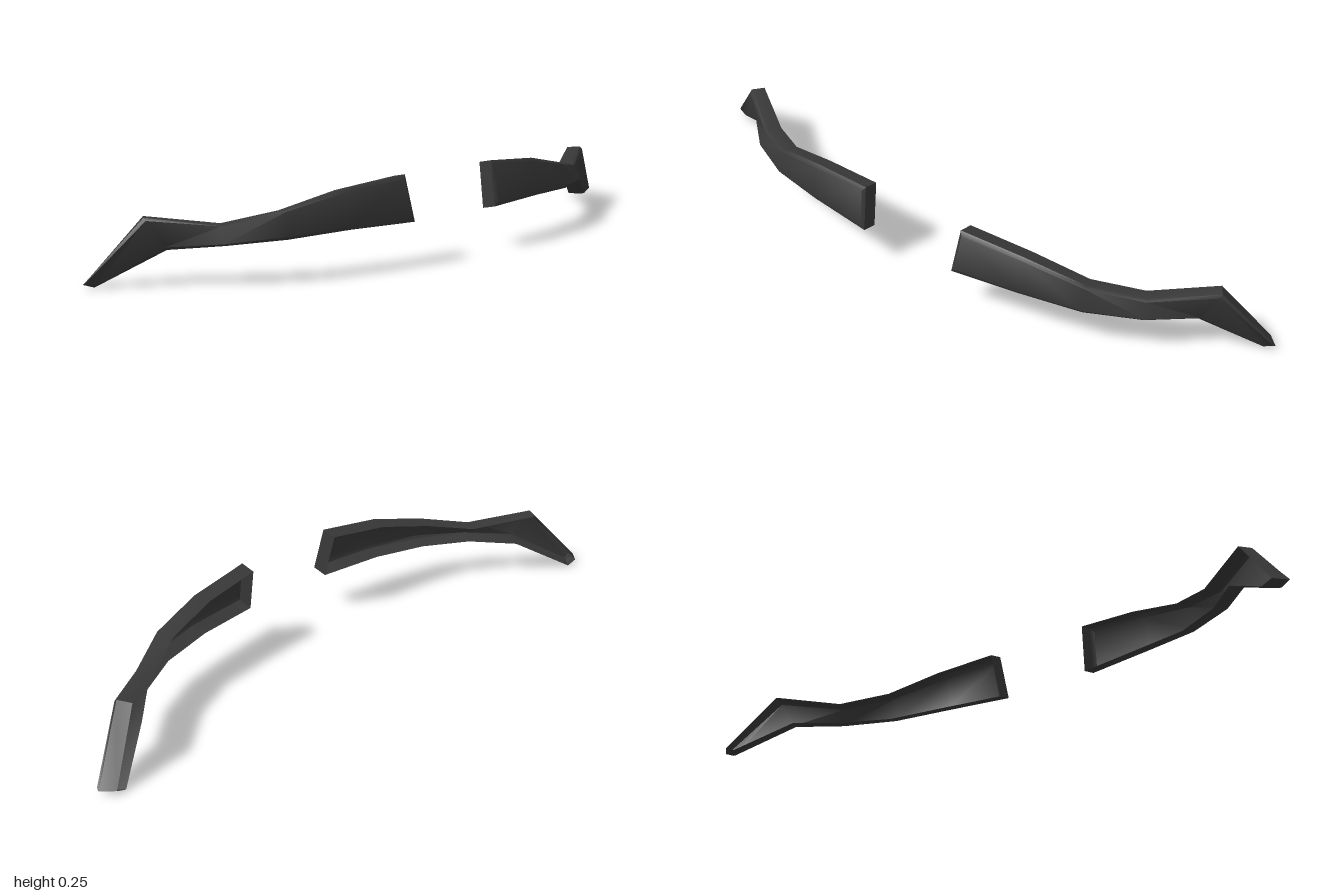
import * as THREE from 'three';
import { toCreasedNormals } from 'three/addons/utils/BufferGeometryUtils.js';

// Stations from the inner end to the outer tip:
// upper rim point, lower rim point, and the offset to the open back.
const STATIONS = [
  { top: [0.17, 0.255, 0.173], low: [0.158, 0.122, 0.202], back: [0, -0.011, -0.047] },
  { top: [0.37, 0.236, 0.147], low: [0.37, 0.125, 0.172], back: [-0.006, -0.011, -0.046] },
  { top: [0.545, 0.196, 0.107], low: [0.55, 0.117, 0.127], back: [-0.012, -0.01, -0.042] },
  { top: [0.69, 0.163, 0.022], low: [0.7, 0.109, 0.046], back: [-0.022, -0.006, -0.037] },
  { top: [0.86, 0.187, -0.092], low: [0.81, 0.097, -0.062], back: [-0.022, -0.004, -0.037] },
  { top: [1.0, 0.012, -0.177], low: [0.968, 0.0, -0.173], back: [-0.033, 0.001, -0.033] },
];

// Hollow brow shell: rounded front plate, side walls all round, open at the back.
function browGeometry(side) {
  const vec = (a) => new THREE.Vector3(...a);
  const last = STATIONS.length - 1;
  const face = [], edge = [], back = [];

  const addRim = (i, key, otherKey) => {
    const s = STATIONS[i];
    const rim = vec(s[key]);
    const offset = vec(s.back);
    // The front plate is inset and stands slightly proud, giving a soft bevel.
    const front = rim.clone().lerp(vec(s[otherKey]), 0.09);
    front.addScaledVector(offset.clone().normalize(), -0.008);
    if (i === 0 || i === last) {
      const next = vec(STATIONS[i === 0 ? 1 : last - 1][key]);
      front.addScaledVector(next.sub(rim).normalize(), 0.01);
    }
    face.push(front);
    edge.push(rim);
    back.push(rim.clone().add(offset));
  };
  for (let i = 0; i <= last; i++) addRim(i, 'top', 'low');
  for (let i = last; i >= 0; i--) addRim(i, 'low', 'top');

  const positions = [];
  const quad = (a, b, c, d) => {
    const order = side > 0 ? [a, b, c, a, c, d] : [a, c, b, a, d, c];
    order.forEach((p) => positions.push(p.x * side, p.y, p.z));
  };
  const n = face.length;
  // Bevel and side walls
  for (let j = 0; j < n; j++) {
    const k = (j + 1) % n;
    quad(face[j], face[k], edge[k], edge[j]);
    quad(edge[j], edge[k], back[k], back[j]);
  }
  // Front plate
  for (let i = 0; i < last; i++) {
    quad(face[i], face[n - 1 - i], face[n - 2 - i], face[i + 1]);
  }

  const geometry = new THREE.BufferGeometry();
  geometry.setAttribute('position', new THREE.Float32BufferAttribute(positions, 3));
  return toCreasedNormals(geometry, 0.75);
}

export function createModel() {
  const group = new THREE.Group();
  group.name = 'eyebrows';
  const charcoal = new THREE.MeshStandardMaterial({ color: 0x383838, side: THREE.DoubleSide });
  charcoal.name = 'charcoal';

  for (const [name, side] of [['leftEyebrow', 1], ['rightEyebrow', -1]]) {
    const brow = new THREE.Mesh(browGeometry(side), charcoal);
    brow.name = name;
    group.add(brow);
  }
  return group;
}
